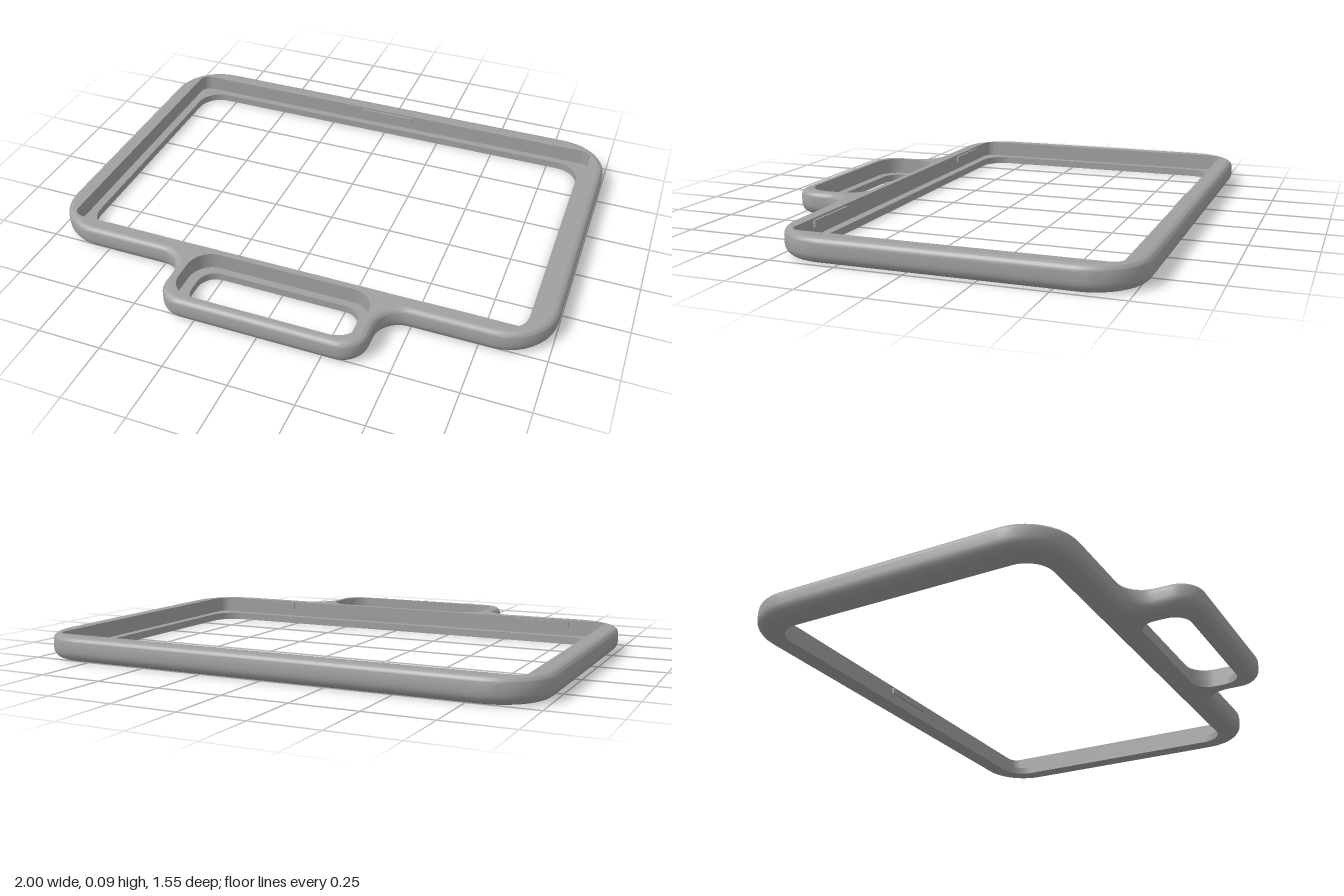
import * as THREE from 'three';
import { toCreasedNormals } from 'three/addons/utils/BufferGeometryUtils.js';

const H = 0.095;        // frame thickness
const LEDGE = 0.03;     // height of the inner ledge
const TOP_R = 0.025, BOTTOM_R = 0.04; // edge rounding

// Corner arcs of an outline, counter-clockwise, as [x, v, radius, from, to] with v = -z.
const OUTER = [
  [0.3, -0.675, 0.1, -90, 0], [0.5, -0.625, 0.1, 180, 90],
  [0.8, -0.325, 0.2, -90, 0], [0.8, 0.58, 0.2, 0, 90],
  [-0.8, 0.58, 0.2, 90, 180], [-0.8, -0.325, 0.2, 180, 270],
  [-0.5, -0.625, 0.1, 90, 0], [-0.3, -0.675, 0.1, 180, 270],
];

// Outline points, moved inward by d; hollow corners grow, round ones shrink.
function outline(arcs, d = 0, steps = 10) {
  const pts = [];
  for (const [x, v, r, from, to] of arcs) {
    const rad = to > from ? r - d : r + d;
    for (let i = 0; i <= steps; i++) {
      const a = THREE.MathUtils.degToRad(from + (to - from) * i / steps);
      pts.push(new THREE.Vector2(x + rad * Math.cos(a), v + rad * Math.sin(a)));
    }
  }
  return pts;
}

function roundedRect(halfX, zBack, zFront, r) {
  const x = halfX - r, top = -zBack - r, low = -zFront + r;
  return outline([[x, low, r, -90, 0], [x, top, r, 0, 90], [-x, top, r, 90, 180], [-x, low, r, 180, 270]]);
}

// Skin between closed loops, each given as [points, y].
function loft(loops) {
  const n = loops[0][0].length, pos = [], idx = [];
  for (const [pts, y] of loops) for (const p of pts) pos.push(p.x, y, -p.y);
  for (let k = 0; k < loops.length - 1; k++) {
    for (let j = 0; j < n; j++) {
      const a = k * n + j, b = k * n + (j + 1) % n;
      idx.push(a, b, b + n, a, b + n, a + n);
    }
  }
  const g = new THREE.BufferGeometry();
  g.setAttribute('position', new THREE.Float32BufferAttribute(pos, 3));
  g.setIndex(idx);
  return toCreasedNormals(g, 0.6);
}

// Flat face with holes at height y, facing up or down.
function face(pts, holes, y, up = true) {
  const shape = new THREE.Shape(pts);
  for (const h of holes) shape.holes.push(new THREE.Path(h));
  const g = new THREE.ShapeGeometry(shape);
  if (!up) {
    g.setIndex(Array.from(g.index.array).reverse());
    g.attributes.normal.array.fill(-1);
    for (let i = 0; i < g.attributes.normal.count; i++) g.attributes.normal.setXYZ(i, 0, 0, -1);
  }
  return g.rotateX(-Math.PI / 2).translate(0, y, 0);
}

export function createModel() {
  const model = new THREE.Group();
  model.name = 'displayFrame';
  const grey = new THREE.MeshStandardMaterial({ color: 0xa0a0a0 });
  grey.name = 'grey';
  const add = (name, geometry) => {
    const m = new THREE.Mesh(geometry, grey);
    m.name = name;
    model.add(m);
    return m;
  };

  // Openings: a wide recess above a narrower through hole
  const openings = [
    { name: 'window', recess: roundedRect(0.93, -0.71, 0.46, 0.04), hole: roundedRect(0.895, -0.68, 0.425, 0.1) },
    { name: 'handle', recess: roundedRect(0.36, 0.485, 0.735, 0.09), hole: roundedRect(0.32, 0.515, 0.7, 0.07) },
  ];

  // Rounded outer side
  const loops = [], steps = 6;
  for (let i = 0; i <= steps; i++) {
    const a = Math.PI / 2 * i / steps;
    loops.push([outline(OUTER, BOTTOM_R * (1 - Math.sin(a))), BOTTOM_R * (1 - Math.cos(a))]);
  }
  for (let i = 0; i <= steps; i++) {
    const a = Math.PI / 2 * i / steps;
    loops.push([outline(OUTER, TOP_R * (1 - Math.cos(a))), H - TOP_R * (1 - Math.sin(a))]);
  }
  add('outerSide', loft(loops));
  add('topRim', face(outline(OUTER, TOP_R), openings.map(o => o.recess), H));
  add('underside', face(outline(OUTER, BOTTOM_R), openings.map(o => o.hole), 0, false));

  // Inner walls and ledges
  for (const o of openings) {
    add(o.name + 'RecessWall', loft([[o.recess, H], [o.recess, LEDGE]]));
    add(o.name + 'Ledge', face(o.recess, [o.hole], LEDGE));
    add(o.name + 'HoleWall', loft([[o.hole, LEDGE], [o.hole, 0]]));
  }

  // Small retaining tabs on the window walls
  for (const [x, z] of [[0, -0.707], [0.65, 0.457], [-0.65, 0.457]]) {
    add('retainingTab', new THREE.BoxGeometry(0.24, 0.025, 0.012)).position.set(x, 0.075, z);
  }
  return model;
}
